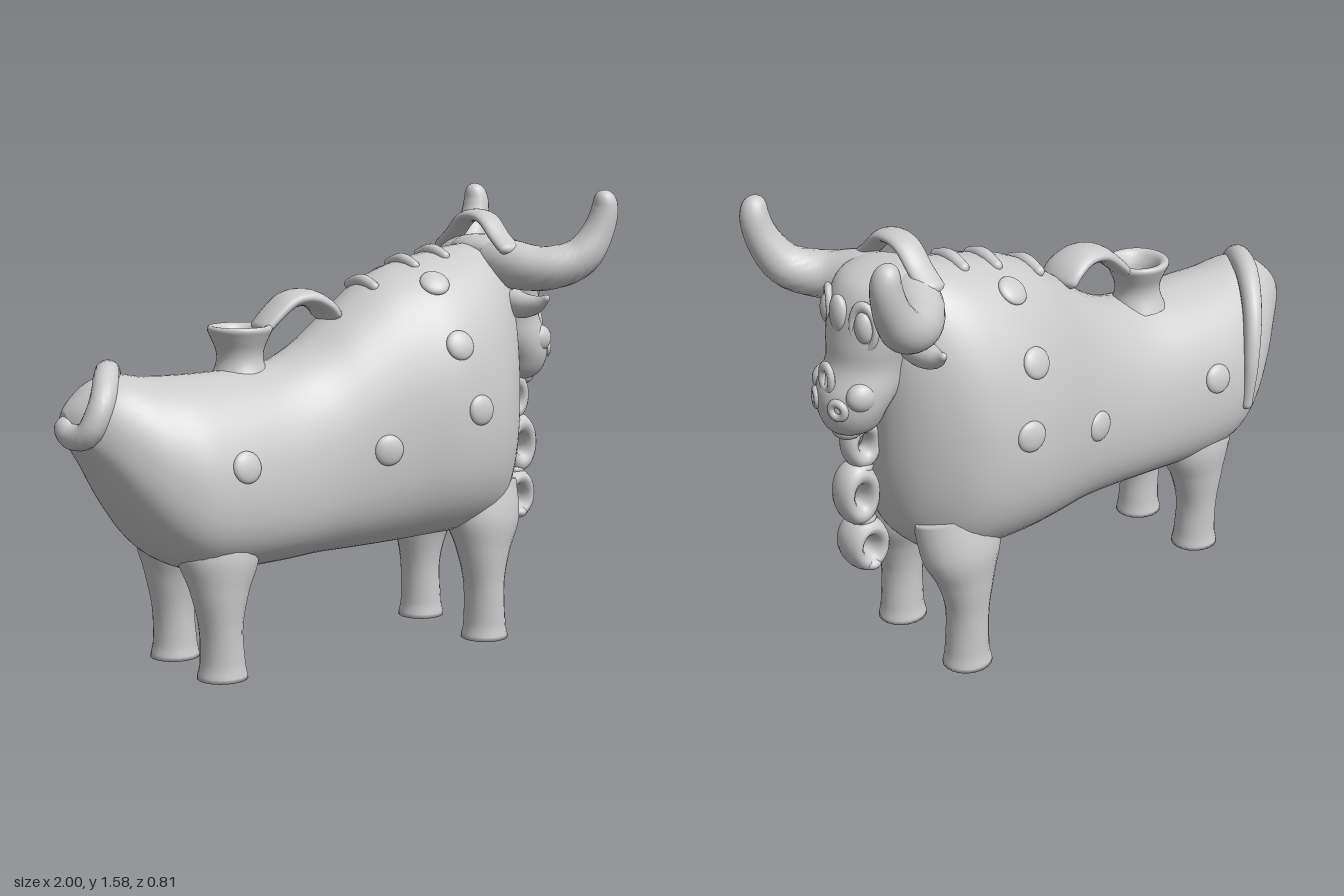
import * as THREE from 'three';

const mat = new THREE.MeshStandardMaterial({ color: 0xcccccc, side: THREE.DoubleSide });
const V = (x, y, z) => new THREE.Vector3(x, y, z);

// Skin a list of equal-length closed rings, closing both ends.
function loft(rings) {
  const n = rings[0].length, pos = [], idx = [];
  rings.forEach(r => r.forEach(p => pos.push(p.x, p.y, p.z)));
  for (let i = 0; i < rings.length - 1; i++) {
    for (let j = 0; j < n; j++) {
      const a = i * n + j, b = i * n + (j + 1) % n;
      idx.push(a, b, a + n, b, b + n, a + n);
    }
  }
  [0, rings.length - 1].forEach(i => {
    const c = rings[i].reduce((s, p) => s.add(p), V(0, 0, 0)).divideScalar(n);
    const k = pos.length / 3;
    pos.push(c.x, c.y, c.z);
    for (let j = 0; j < n; j++) {
      const a = i * n + j, b = i * n + (j + 1) % n;
      if (i === 0) idx.push(k, b, a); else idx.push(k, a, b);
    }
  });
  const g = new THREE.BufferGeometry();
  g.setAttribute('position', new THREE.Float32BufferAttribute(pos, 3));
  g.setIndex(idx);
  g.computeVertexNormals();
  return g;
}

// Read a row of a section table smoothly at t in 0..1.
function sample(table, t) {
  const f = t * (table.length - 1), i = Math.min(Math.floor(f), table.length - 2), u = f - i;
  const at = k => table[Math.max(0, Math.min(table.length - 1, k))];
  return table[0].map((_, c) => {
    const [a, b, d, e] = [at(i - 1)[c], at(i)[c], at(i + 1)[c], at(i + 2)[c]];
    return b + 0.5 * u * (d - a + u * (2 * a - 5 * b + 4 * d - e + u * (3 * (b - d) + e - a)));
  });
}

// Sweep an oval along a path; each row is [x, y, z, thickness radius, side radius].
function sweep(rows, side = V(1, 0, 0), round = true, steps = 40, n = 20) {
  const curve = new THREE.CatmullRomCurve3(rows.map(r => V(r[0], r[1], r[2])));
  const len = curve.getLength(), rings = [];
  for (let i = 0; i <= steps; i++) {
    // steps crowd towards the ends so they round off cleanly
    const u = round ? (1 - Math.cos(Math.PI * i / steps)) / 2 : i / steps;
    const t = curve.getUtoTmapping(u), p = curve.getPoint(t), T = curve.getTangent(t);
    const row = sample(rows, t), r1 = row[3], r2 = row[4] ?? r1;
    const N = T.clone().cross(side).normalize(), B = T.clone().cross(N);
    const d = Math.min(1, Math.min(u, 1 - u) * len / Math.min(r1, r2));
    const k = round ? Math.max(0.02, Math.sqrt(1 - (1 - d) ** 2)) : 1;
    rings.push(Array.from({ length: n }, (_, j) => {
      const a = j / n * Math.PI * 2;
      return p.clone().addScaledVector(N, Math.cos(a) * r1 * k).addScaledVector(B, Math.sin(a) * r2 * k);
    }));
  }
  return loft(rings);
}

// Body sections: x, bottom, top, half width, z offset
const BODY = [
  [-0.97, 0.84, 0.92, 0.03, 0], [-0.94, 0.80, 0.96, 0.08, 0.01], [-0.88, 0.71, 1.01, 0.14, 0.02],
  [-0.8, 0.58, 1.03, 0.2, 0.02], [-0.7, 0.45, 1.015, 0.255, 0.02], [-0.6, 0.385, 1.01, 0.285, 0.025],
  [-0.45, 0.365, 1.01, 0.285, 0.025], [-0.25, 0.365, 1.02, 0.27, 0.025], [-0.1, 0.37, 1.08, 0.265, 0.02],
  [0.05, 0.37, 1.19, 0.28, 0.02], [0.2, 0.37, 1.29, 0.315, 0.01], [0.35, 0.375, 1.34, 0.35, 0.005],
  [0.5, 0.375, 1.37, 0.34, 0], [0.6, 0.38, 1.385, 0.305, 0], [0.68, 0.42, 1.385, 0.24, 0],
  [0.74, 0.5, 1.36, 0.165, 0], [0.775, 0.64, 1.28, 0.09, 0], [0.785, 0.75, 1.15, 0.03, 0],
];

// Half width of the egg-shaped section at height y.
function halfWidth([, lo, hi, w], y) {
  const mid = lo + 0.42 * (hi - lo);
  const s = Math.min(1, y > mid ? (y - mid) / (hi - mid) : (mid - y) / (mid - lo));
  return y > mid ? w * Math.sqrt(1 - s * s) : w * Math.pow(1 - Math.pow(s, 2.5), 0.4);
}

function sectionAt(x) {
  let lo = 0, hi = 1;
  for (let i = 0; i < 30; i++) {
    const m = (lo + hi) / 2;
    if (sample(BODY, m)[0] < x) lo = m; else hi = m;
  }
  return sample(BODY, lo);
}

function bodyGeometry() {
  const rings = [], n = 56;
  for (let i = 0; i <= 85; i++) {
    const s = sample(BODY, i / 85), mid = s[1] + 0.42 * (s[2] - s[1]);
    rings.push(Array.from({ length: n }, (_, j) => {
      const a = j / n * Math.PI * 2, c = Math.cos(a);
      const y = mid + c * (c > 0 ? s[2] - mid : mid - s[1]);
      return V(s[0], y, s[4] + Math.sign(Math.round(Math.sin(a) * 1e6)) * halfWidth(s, y));
    }));
  }
  return loft(rings);
}

// Head sections going up: y, back x, front x, half width
const HEAD = [
  [0.88, 0.83, 0.9, 0.03], [0.91, 0.78, 0.945, 0.085], [0.97, 0.75, 0.965, 0.12], [1.04, 0.7, 0.96, 0.135],
  [1.12, 0.68, 0.92, 0.135], [1.2, 0.66, 0.91, 0.15], [1.3, 0.62, 0.89, 0.165], [1.37, 0.6, 0.85, 0.155],
  [1.405, 0.63, 0.78, 0.1], [1.415, 0.68, 0.72, 0.03],
];

function headGeometry() {
  const rings = [], n = 40;
  for (let i = 0; i <= 50; i++) {
    const [y, b, f, w] = sample(HEAD, i / 50);
    rings.push(Array.from({ length: n }, (_, j) => {
      const a = j / n * Math.PI * 2;
      return V((b + f) / 2 + Math.sin(a) * (f - b) / 2, y, Math.cos(a) * w);
    }));
  }
  return loft(rings);
}

export function createModel() {
  const model = new THREE.Group();
  const add = (name, geometry, p = [0, 0, 0], s = [1, 1, 1]) => {
    const m = new THREE.Mesh(geometry, mat);
    m.name = name;
    m.position.set(...p);
    m.scale.set(...s);
    model.add(m);
    return m;
  };
  const ball = new THREE.SphereGeometry(1, 24, 16);

  add('body', bodyGeometry());
  add('head', headGeometry());

  // Legs, flared at the foot and widening into the body
  const leg = (name, x, z, foot) => add(name, sweep([
    [x, foot, z, 0.082, 0.085], [x, foot + 0.05, z, 0.075, 0.075], [x - 0.005, 0.2, z, 0.075, 0.072],
    [x - 0.005, 0.32, z * 0.97, 0.09, 0.1], [x, 0.42, z * 0.9, 0.11, 0.14], [x, 0.55, z * 0.75, 0.11, 0.15],
  ], V(1, 0, 0), false));
  leg('frontLegLeft', 0.58, 0.185, 0);
  leg('frontLegRight', 0.58, -0.19, 0);
  leg('rearLegLeft', -0.505, 0.18, 0.03);
  leg('rearLegRight', -0.505, -0.13, 0.03);

  for (const s of [1, -1]) {
    // Horns, ears and face details
    add('horn', sweep([
      [0.68, 1.33, 0, 0.075], [0.7, 1.32, 0.13 * s, 0.085], [0.77, 1.305, 0.245 * s, 0.078],
      [0.87, 1.34, 0.315 * s, 0.07], [0.93, 1.43, 0.345 * s, 0.056], [0.95, 1.52, 0.357 * s, 0.046],
      [0.93, 1.575, 0.36 * s, 0.034]]));
    add('ear', sweep([[0.72, 1.19, 0.11 * s, 0.05], [0.72, 1.175, 0.2 * s, 0.045, 0.05],
      [0.725, 1.185, 0.27 * s, 0.03, 0.035], [0.73, 1.215, 0.325 * s, 0.01, 0.012]]));
    add('eye', ball, [0.86, 1.265, 0.095 * s], [0.03, 0.055, 0.034]);
    const rim = add('eyeRim', new THREE.TorusGeometry(0.047, 0.013, 10, 28), [0.862, 1.265, 0.095 * s], [0.85, 1.45, 1]);
    rim.rotation.y = Math.PI / 2 - 0.5 * s;
    const nostril = add('nostril', new THREE.TorusGeometry(0.024, 0.014, 10, 20), [0.948, 1.0, 0.06 * s]);
    nostril.rotation.y = Math.PI / 2 - 0.4 * s;
    add('cheek', ball, [0.88, 1.04, 0.095 * s], [0.055, 0.05, 0.04]);

    // Round studs pressed on the flanks, turned to follow the surface
    for (const [x, y] of [[-0.48, 0.74], [0.07, 0.74], [0.42, 0.85], [0.36, 1.07], [0.35, 1.27]]) {
      const sec = sectionAt(x), w = halfWidth(sec, y);
      const dy = (halfWidth(sec, y + 0.02) - halfWidth(sec, y - 0.02)) / 0.04;
      const dx = (halfWidth(sectionAt(x + 0.02), y) - halfWidth(sectionAt(x - 0.02), y)) / 0.04;
      const stud = add('stud', ball, [x, y, sec[4] + w * s], [0.052, 0.02, 0.052]);
      stud.quaternion.setFromUnitVectors(V(0, 1, 0), V(-dx, -dy, s).normalize());
    }
  }
  add('foreheadBoss', ball, [0.888, 1.285, 0], [0.025, 0.065, 0.04]);
  const noseLoop = add('noseLoop', new THREE.TorusGeometry(0.027, 0.012, 10, 24), [0.945, 1.085, 0], [1, 1.5, 1]);
  noseLoop.rotation.y = Math.PI / 2;
  add('chin', ball, [0.88, 0.895, 0], [0.05, 0.035, 0.05]);

  // Arched band between the horns
  add('crest', sweep([[0.67, 1.36, -0.2, 0.022, 0.045], [0.67, 1.41, -0.13, 0.022, 0.045],
    [0.67, 1.475, -0.05, 0.022, 0.046], [0.67, 1.475, 0.05, 0.022, 0.046],
    [0.67, 1.41, 0.13, 0.022, 0.045], [0.67, 1.36, 0.2, 0.022, 0.045]]));

  // Low ridges across the neck
  for (const x of [0.17, 0.34, 0.47]) {
    const y = sectionAt(x)[2];
    add('neckRidge', sweep([[x, y - 0.02, -0.09, 0.018], [x, y + 0.002, 0, 0.022], [x, y - 0.02, 0.09, 0.018]]));
  }

  // Chain of links hanging under the chin
  [[0.825, 0.825, 0.8, 1.1], [0.852, 0.65, 0.87, 1.32], [0.835, 0.465, 0.92, 1.15]].forEach(([x, y, sx, sy], i) =>
    add('chainLink', new THREE.TorusGeometry(0.055, 0.03, 14, 32), [x, y, 0.015], [sx, sy, 1.4 + 0.4 * i]));
  for (const [y, w] of [[0.9, 0.04], [0.738, 0.045], [0.555, 0.05], [0.4, 0.075]])
    add('chainJoint', ball, [0.835, y, 0.015], [0.045, 0.03, w]);

  // Filling cup on the back and the strap handle joined to it
  const cup = [[0.1, -0.09], [0.08, -0.04], [0.08, 0], [0.098, 0.045], [0.108, 0.07], [0.1, 0.082],
    [0.08, 0.075], [0.062, 0.04], [0.05, -0.01], [0, -0.02]].map(p => new THREE.Vector2(...p));
  add('cup', new THREE.LatheGeometry(new THREE.SplineCurve(cup).getPoints(40), 40), [-0.32, 1.07, 0]);
  add('handle', sweep([[-0.25, 1.125, 0, 0.022, 0.06], [-0.2, 1.175, 0, 0.025, 0.065], [-0.13, 1.225, 0, 0.028, 0.07],
    [-0.06, 1.23, 0, 0.03, 0.075], [0, 1.2, 0, 0.03, 0.085], [0.04, 1.15, 0, 0.03, 0.085]], V(0, 0, 1)));

  // Tail curling over the rump and down the right flank
  add('tail', sweep([[-0.62, 0.58, -0.255, 0.02], [-0.64, 0.76, -0.25, 0.028], [-0.69, 0.92, -0.195, 0.034],
    [-0.76, 1.015, -0.09, 0.04], [-0.83, 1.02, 0.03, 0.042], [-0.89, 0.95, 0.11, 0.042],
    [-0.935, 0.86, 0.1, 0.042], [-0.955, 0.85, 0.03, 0.044], [-0.955, 0.9, -0.02, 0.044]], V(1, 0, 0), true, 70));
  return model;
}
